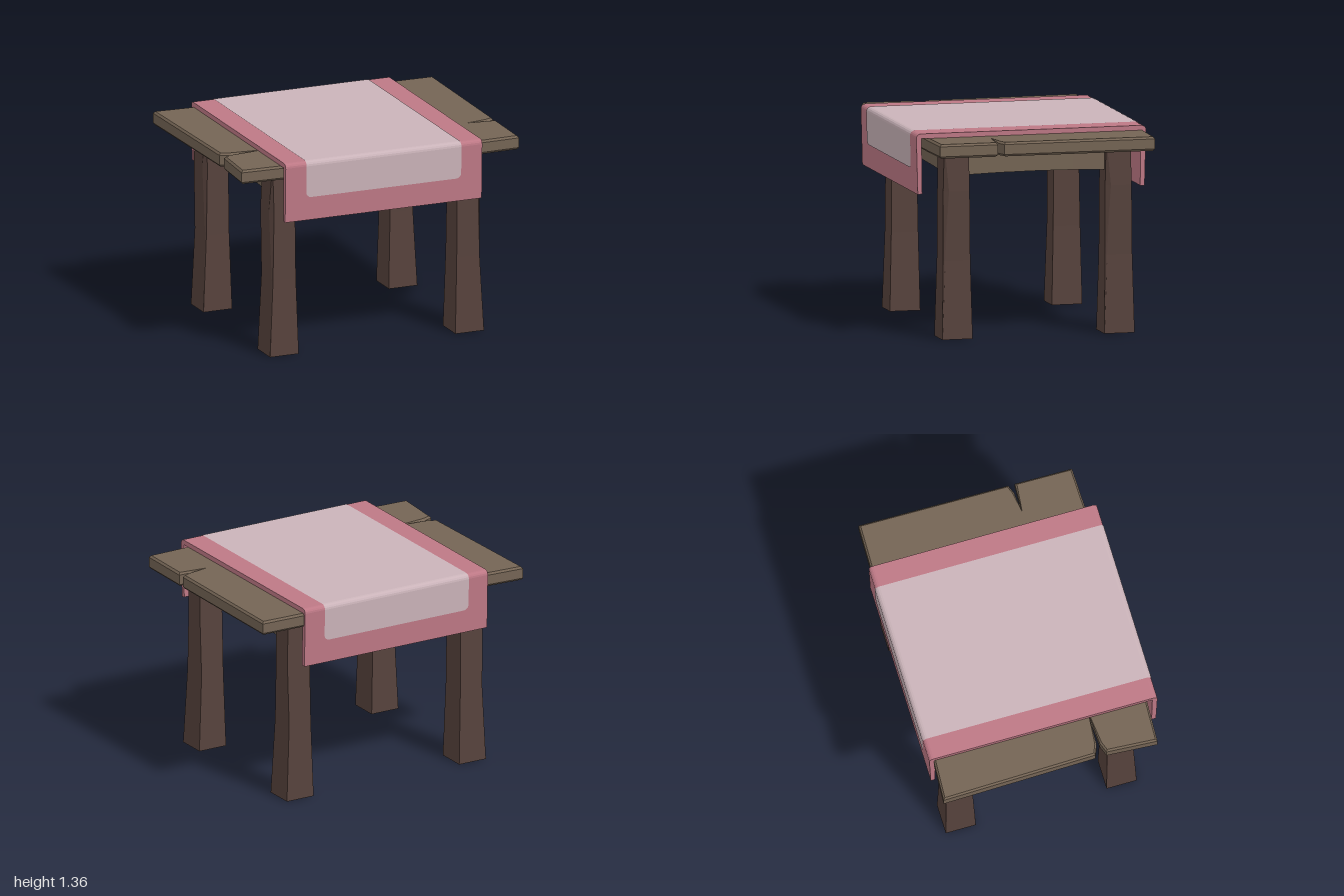
import * as THREE from 'three';

const paint = (name, color, side = THREE.FrontSide) => {
  const m = new THREE.MeshStandardMaterial({ color, side, flatShading: true });
  m.name = name;
  return m;
};

// Skin a stack of horizontal rings (each a list of [x, z], clockwise from above) and cap both ends
function loft(levels) {
  const n = levels[0].ring.length;
  const pos = levels.flatMap(({ y, ring }) => ring.flatMap(([x, z]) => [x, y, z]));
  const index = [];
  for (let l = 0; l < levels.length - 1; l++) {
    for (let i = 0; i < n; i++) {
      const a = l * n + i, b = l * n + (i + 1) % n;
      index.push(a, a + n, b, b, a + n, b + n);
    }
  }
  const top = (levels.length - 1) * n;
  for (let i = 1; i < n - 1; i++) {
    index.push(0, i, i + 1);
    index.push(top, top + i + 1, top + i);
  }
  const g = new THREE.BufferGeometry();
  g.setAttribute('position', new THREE.Float32BufferAttribute(pos, 3));
  g.setIndex(index);
  const flat = g.toNonIndexed();
  flat.computeVertexNormals();
  return flat;
}

// Tapered leg whose outer front edge is hewn away; side is +1 or -1 in x
function legGeometry(side) {
  // y, inner x, outer x, back z, front z, chip in x, chip in z
  const rows = [
    [0, 0.56, 0.765, -0.103, 0.103, 0.001, 0.001],
    [0.52, 0.575, 0.742, -0.093, 0.09, 0.004, 0.012],
    [0.98, 0.58, 0.752, -0.086, 0.088, 0.022, 0.034],
    [1.24, 0.575, 0.742, -0.083, 0.083, 0.006, 0.006],
  ];
  return loft(rows.map(([y, xi, xo, zb, zf, cx, cz]) => {
    const ring = [[xi, zf], [xi, zb], [xo, zb], [xo, zf - cz], [xo - cx, zf]]
      .map(([x, z]) => [x * side, z]);
    return { y, ring: side > 0 ? ring.reverse() : ring };
  }).map(({ y, ring }) => ({ y, ring: ring.reverse() })));
}

// Rail whose middle is thinner and slightly raised underneath
function railGeometry(length, thickness) {
  const g = new THREE.BoxGeometry(length, 0.155, thickness, 4, 1, 1);
  const p = g.attributes.position;
  for (let i = 0; i < p.count; i++) {
    const bow = 1 - (2 * p.getX(i) / length) ** 2;
    p.setZ(i, p.getZ(i) * (1 - 0.2 * bow));
    if (p.getY(i) < 0) p.setY(i, p.getY(i) + 0.008 * bow);
  }
  g.computeVertexNormals();
  return g;
}

// Outer face of the cloth hangs with a slight inward lean
const hangZ = (y) => 0.77 + 0.01 * (y - 0.955) / 0.375;

// Points [z, y] over the front fold, from the vertical side to the top
const fold = (r) => Array.from({ length: 5 }, (_, i) => {
  const a = i / 4 * Math.PI / 2;
  return [0.75 + r * Math.cos(a), 1.33 + r * Math.sin(a)];
});

export function createModel() {
  const model = new THREE.Group();
  const wood = paint('weathered wood', 0x746454);
  const darkWood = paint('dark leg wood', 0x56423c);
  const pink = paint('pink cloth', 0xbd7885);
  const pale = paint('pale cloth panel', 0xcab3b9, THREE.DoubleSide);

  const add = (name, geometry, material, x = 0, y = 0, z = 0) => {
    const mesh = new THREE.Mesh(geometry, material);
    mesh.name = name;
    mesh.position.set(x, y, z);
    model.add(mesh);
    return mesh;
  };

  // Tabletop slab with a split in each end, outline as [x, z]
  const outline = [
    [-1, -0.765], [-0.72, -0.75], [0.69, -0.765], [0.998, -0.758], [0.988, 0.262],
    [0.93, 0.285], [0.8, 0.298], [0.988, 0.308], [0.983, 0.698], [0.69, 0.705],
    [-0.72, 0.71], [-1, 0.698], [-0.978, 0.355], [-0.91, 0.33], [-0.7, 0.318],
    [-0.91, 0.308], [-0.978, 0.28],
  ];
  const slab = new THREE.ExtrudeGeometry(
    new THREE.Shape(outline.map(([x, z]) => new THREE.Vector2(x, -z))),
    { depth: 0.066, bevelThickness: 0.014, bevelSize: 0.012, bevelOffset: -0.012, bevelSegments: 1 });
  slab.rotateX(-Math.PI / 2);
  add('tabletop', slab, wood, 0, 1.248, 0);

  // Legs
  for (const side of [1, -1]) {
    const geometry = legGeometry(side);
    add(side > 0 ? 'frontLegLeft' : 'frontLegRight', geometry, darkWood, 0, 0, 0.522);
    add(side > 0 ? 'backLegLeft' : 'backLegRight', geometry, darkWood, 0, 0, -0.578);
  }

  // Rails under the top
  for (const side of [1, -1]) {
    add('sideRail', railGeometry(1.0, 0.09), wood, side * 0.66, 1.1575, -0.03).rotation.y = Math.PI / 2;
    add('crossRail', railGeometry(1.22, 0.09), wood, 0, 1.1575, side > 0 ? 0.522 : -0.578);
  }

  // Cloth: folded strip profile in z and y, extruded across x
  const half = [[hangZ(0.955), 0.958], ...fold(0.03)];
  const inner = [[0.745, 1.328], [0.74, 0.962]];
  const mirror = (points) => points.map(([z, y]) => [-z, y]).reverse();
  const profile = [...half, ...mirror(half), ...mirror(inner), ...inner];
  const cloth = new THREE.ExtrudeGeometry(
    new THREE.Shape(profile.map(([z, y]) => new THREE.Vector2(z, y))),
    { depth: 1.405, bevelEnabled: false });
  cloth.rotateY(-Math.PI / 2);
  add('cloth', cloth, pink, 0.685, 0, 0);

  // Pale panel: ribbon just above the cloth, rounded at both hanging ends, rows [z, y, inset]
  const r = 0.035;
  const corner = Array.from({ length: 5 }, (_, i) => {
    const a = i / 4 * Math.PI / 2;
    const y = 1.115 + r * (1 - Math.cos(a));
    return [hangZ(y) + 0.003, y, r * (1 - Math.sin(a))];
  });
  const front = [...corner, ...fold(0.033).map(([z, y]) => [z, y, 0])];
  const rows = [...front, ...front.map(([z, y, s]) => [-z, y, s]).reverse()];
  const pos = rows.flatMap(([z, y, s]) => [-0.572 + s, y, z, 0.535 - s, y, z]);
  const index = [];
  for (let i = 0; i < rows.length - 1; i++) {
    const a = 2 * i;
    index.push(a, a + 1, a + 2, a + 1, a + 3, a + 2);
  }
  const ribbon = new THREE.BufferGeometry();
  ribbon.setAttribute('position', new THREE.Float32BufferAttribute(pos, 3));
  ribbon.setIndex(index);
  ribbon.computeVertexNormals();
  add('clothPanel', ribbon, pale);

  return model;
}
